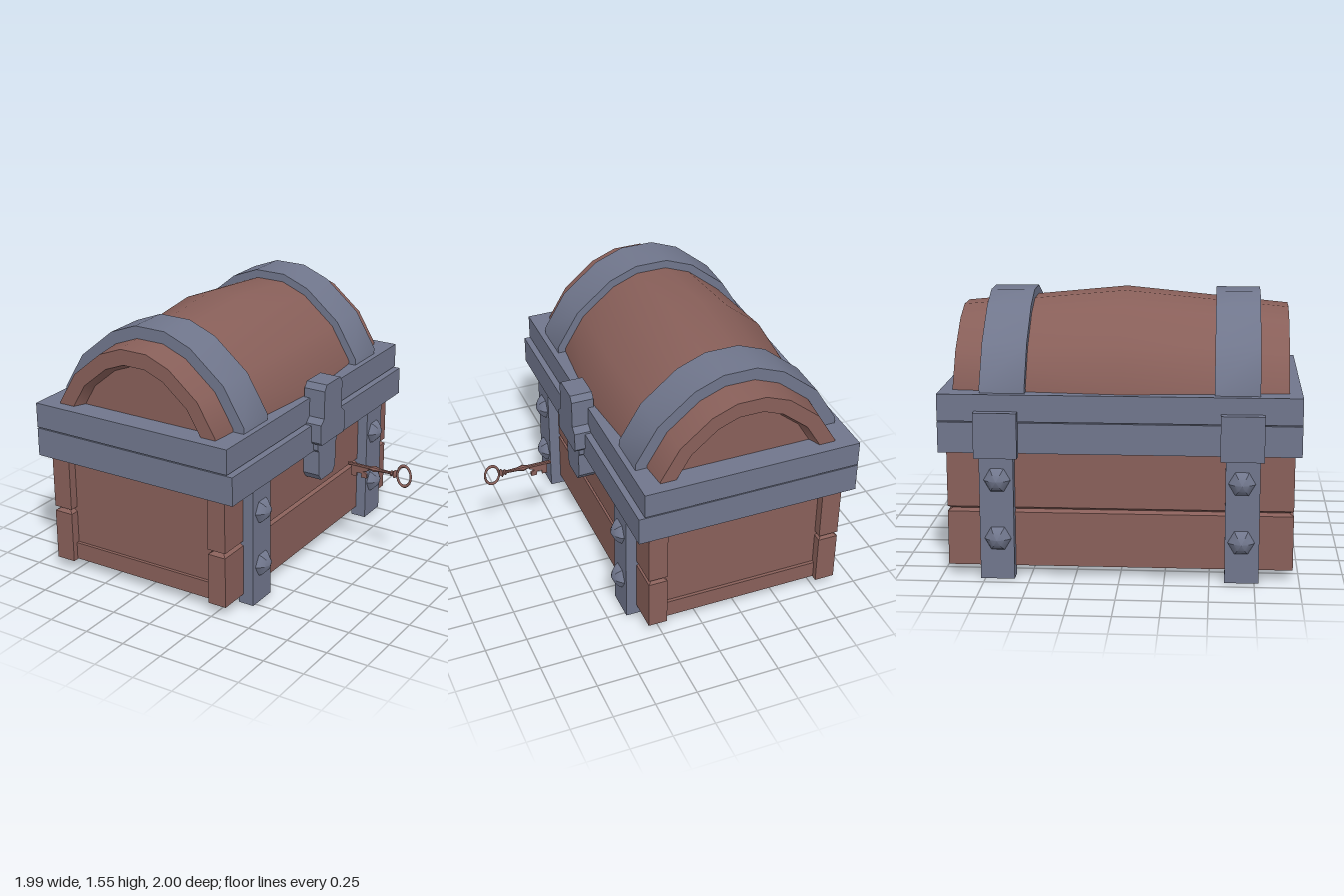
import * as THREE from 'three';
import { toCreasedNormals } from 'three/addons/utils/BufferGeometryUtils.js';

// Skin a row of convex loops and cap both ends
function loft(rings, crease = 0.6) {
  const pos = [], n = rings[0].length;
  const tri = (a, b, c) => pos.push(...a, ...b, ...c);
  for (let r = 0; r + 1 < rings.length; r++) {
    const a = rings[r], b = rings[r + 1];
    for (let i = 0; i < n; i++) {
      const j = (i + 1) % n;
      tri(a[i], a[j], b[j]);
      tri(a[i], b[j], b[i]);
    }
  }
  const first = rings[0], last = rings[rings.length - 1];
  for (let i = 1; i + 1 < n; i++) {
    tri(first[0], first[i + 1], first[i]);
    tri(last[0], last[i], last[i + 1]);
  }
  const g = new THREE.BufferGeometry();
  g.setAttribute('position', new THREE.Float32BufferAttribute(pos, 3));
  return toCreasedNormals(g, crease);
}

export function createModel() {
  const wood = new THREE.MeshStandardMaterial({ color: 0x885f59 });
  wood.name = 'wood brown';
  const iron = new THREE.MeshStandardMaterial({ color: 0x70768c });
  iron.name = 'iron grey';
  const chest = new THREE.Group();
  chest.name = 'treasureChest';

  const add = (name, geo, mat, parent = chest) => {
    const m = new THREE.Mesh(geo, mat);
    m.name = name;
    parent.add(m);
    return m;
  };
  const box = (name, x0, x1, y0, y1, z0, z1, mat, parent) => {
    const g = new THREE.BoxGeometry(x1 - x0, y1 - y0, z1 - z0);
    g.translate((x0 + x1) / 2, (y0 + y1) / 2, (z0 + z1) / 2);
    return add(name, g, mat, parent);
  };

  // Body: recessed core, floor moulding and grooved side planks
  box('endPanels', -0.8, 0.25, 0.1, 0.75, -0.91, 0.91, wood);
  box('floorMoulding', -0.8, 0.25, 0.065, 0.17, -0.93, 0.93, wood);
  const plankRows = [[0.06, 0], [0.37, 0], [0.385, 0.025], [0.4, 0], [0.74, 0]];
  for (const [x0, x1] of [[-0.875, -0.755], [0.21, 0.325]]) {
    add('sidePlanks', loft(plankRows.map(([y, d]) => {
      const a = x0 + d, b = x1 - d, z = 0.965 - d;
      return [[a, y, z], [b, y, z], [b, y, -z], [a, y, -z]];
    }), 0.2), wood);
  }

  // Iron rims of the body and lid
  box('bodyRim', -0.945, 0.4, 0.725, 0.897, -1, 1, iron);
  box('rimSeam', -0.93, 0.35, 0.89, 0.91, -0.985, 0.985, iron);
  box('lidRim', -0.945, 0.365, 0.903, 1.053, -1, 1, iron);

  // Arched lid section, scaled about the hinge line
  const half = [[0.617, 0.9], [0.617, 1.09], [0.485, 1.31], [0.27, 1.488], [0.1, 1.555]];
  const arch = [...half, ...half.slice().reverse().map(([x, y]) => [-x, y])];
  const section = (s) => arch.map(([x, y]) => [-0.287 + x * s, 0.9 + (y - 0.9) * s]);
  const lidRows = [[-0.86, 0.68], [-0.93, 0.725], [-0.93, 0.865], [0, 1],
    [0.93, 0.865], [0.93, 0.725], [0.86, 0.68]];
  add('barrelLid', loft(lidRows.map(([z, s]) => section(s).map(([x, y]) => [x, y, z]))), wood);

  // Lid straps
  const vec = (pts) => pts.map(([x, y]) => new THREE.Vector2(x, y));
  const strapShape = new THREE.Shape(vec([...section(1), ...section(0.885).reverse()]));
  for (const z of [-0.77, 0.52]) {
    const g = new THREE.ExtrudeGeometry(strapShape, { depth: 0.25, bevelEnabled: false });
    g.translate(0, 0, z);
    add('lidStrap', toCreasedNormals(g, 0.6), iron);
  }

  // Legs with studs, and hinge plates at the back
  const studProfile = vec([[0.075, 0], [0.066, 0.018], [0.04, 0.04], [0, 0.056]]);
  for (const s of [-1, 1]) {
    const za = s * 0.68 - 0.095, zb = s * 0.68 + 0.095;
    for (const [x0, x1, dir, face] of [[0.295, 0.39, 1, 0.39], [-0.935, -0.84, -1, -0.935]]) {
      const leg = new THREE.Group();
      leg.name = 'leg';
      chest.add(leg);
      box('legPost', x0, x1, 0, 0.74, za, zb, iron, leg);
      for (const y of [0.235, 0.57]) {
        const g = new THREE.LatheGeometry(studProfile, 6);
        g.rotateZ(-dir * Math.PI / 2);
        g.translate(face, y, s * 0.675);
        add('stud', toCreasedNormals(g, 0.5), iron, leg);
      }
    }
    box('hingePlate', -0.995, -0.93, 0.705, 0.96, s * 0.675 - 0.12, s * 0.675 + 0.12, iron);
  }

  // Latch: outline given as half-width and height, pushed out along x
  const latchPlate = (name, pts, x0, x1) => {
    const outline = [...pts, ...pts.slice().reverse().map(([w, y]) => [-w, y])];
    const g = new THREE.ExtrudeGeometry(new THREE.Shape(vec(outline)),
      { depth: x1 - x0, bevelEnabled: false });
    g.rotateY(Math.PI / 2);
    g.translate(x0, 0, 0);
    return add(name, g, iron);
  };
  latchPlate('hasp', [[0.13, 0.78], [0.142, 0.795], [0.142, 0.91], [0.105, 0.94],
    [0.105, 1.11], [0.08, 1.145]], 0.33, 0.465);
  latchPlate('lockPlate', [[0.07, 0.53], [0.1, 0.57], [0.1, 0.72], [0.115, 0.735],
    [0.115, 0.8]], 0.32, 0.43);

  // Key floating in front of the lock
  const key = new THREE.Group();
  key.name = 'key';
  key.position.set(0, 0.648, 0);
  chest.add(key);
  const stem = new THREE.LatheGeometry(vec([[0, 0.575], [0.011, 0.575], [0.011, 0.72],
    [0.02, 0.75], [0.011, 0.785], [0.009, 0.85], [0.018, 0.86], [0.012, 0.87],
    [0.026, 0.882], [0.012, 0.895], [0, 0.9]]), 8);
  stem.rotateZ(-Math.PI / 2);
  add('keyStem', toCreasedNormals(stem, 0.6), wood, key);
  const bow = new THREE.TorusGeometry(0.062, 0.01, 6, 20);
  bow.scale(0.7, 1.03, 0.8);
  bow.translate(0.941, 0, 0);
  add('keyBow', bow, wood, key);
  const bit = new THREE.Shape(vec([[0.6, 0], [0.6, -0.07], [0.632, -0.07], [0.632, -0.045],
    [0.665, -0.045], [0.665, -0.07], [0.7, -0.07], [0.7, -0.045], [0.675, -0.03],
    [0.71, -0.02], [0.71, 0]]));
  const bitGeo = new THREE.ExtrudeGeometry(bit, { depth: 0.014, bevelEnabled: false });
  bitGeo.translate(0, 0, -0.007);
  add('keyBit', bitGeo, wood, key);

  return chest;
}
